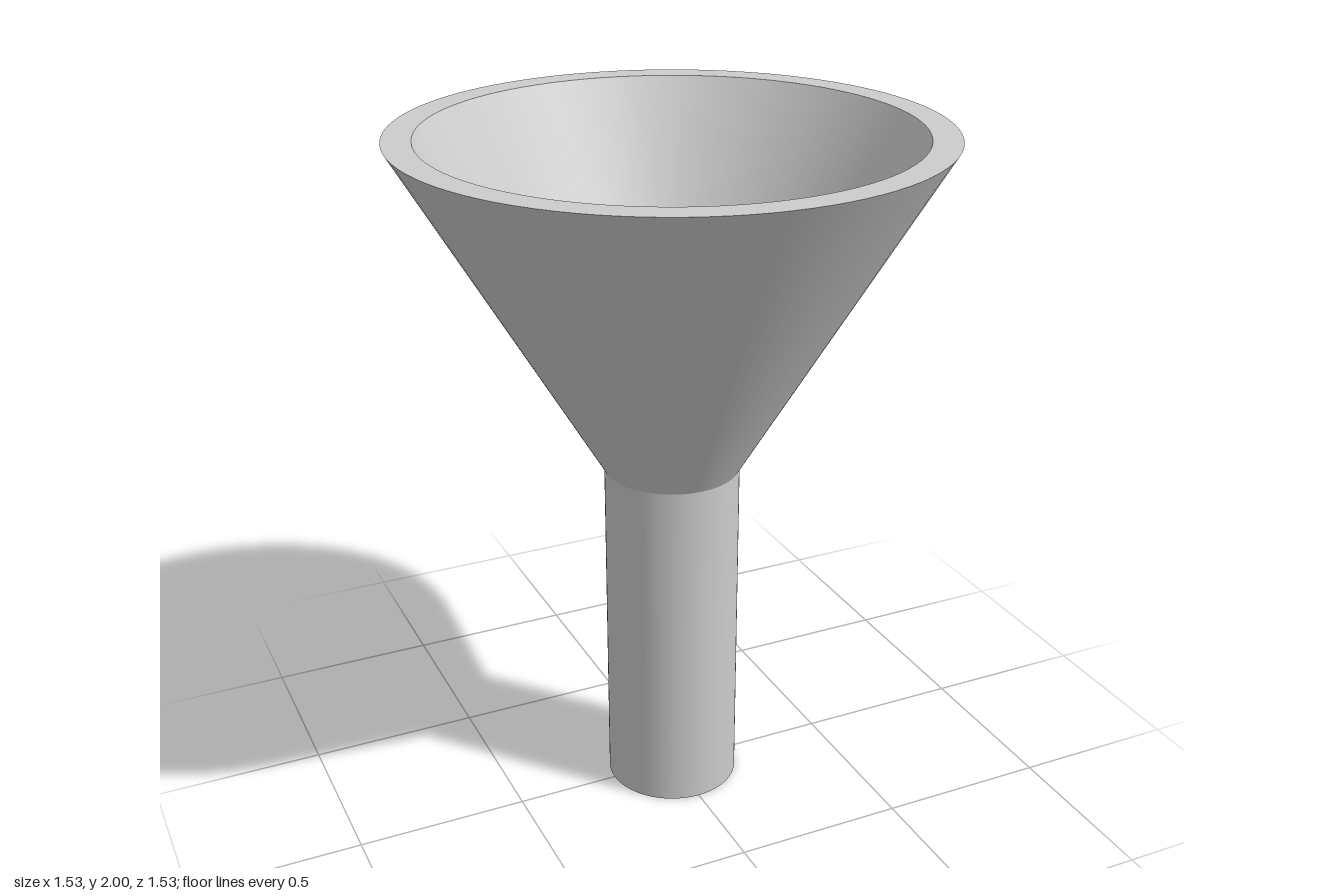
import * as THREE from 'three';
import { mergeGeometries } from 'three/addons/utils/BufferGeometryUtils.js';

const SEGMENTS = 96;

// Revolves each profile edge separately, so the corners stay sharp and the sides smooth.
function revolve(profile) {
  const points = profile.map(([r, y]) => new THREE.Vector2(r, y));
  const bands = [];
  for (let i = 0; i < points.length - 1; i++) {
    bands.push(new THREE.LatheGeometry([points[i], points[i + 1]], SEGMENTS));
  }
  return mergeGeometries(bands);
}

export function createModel() {
  const model = new THREE.Group();
  model.name = 'funnel';
  const grey = new THREE.MeshStandardMaterial({ color: 0xcccccc });
  grey.name = 'light grey';

  const outer = 0.195, inner = 0.115, neck = 1.03, top = 2;

  // Conical bowl: outer wall, flat rim, inner wall
  const bowl = new THREE.Mesh(
    revolve([[outer, neck], [0.763, top], [0.682, top], [inner, neck]]), grey);
  bowl.name = 'bowl';

  // Hollow spout: inner bore, bottom ring, outer wall
  const spout = new THREE.Mesh(
    revolve([[inner, neck], [inner, 0], [outer, 0], [outer, neck]]), grey);
  spout.name = 'spout';

  model.add(bowl, spout);
  return model;
}
